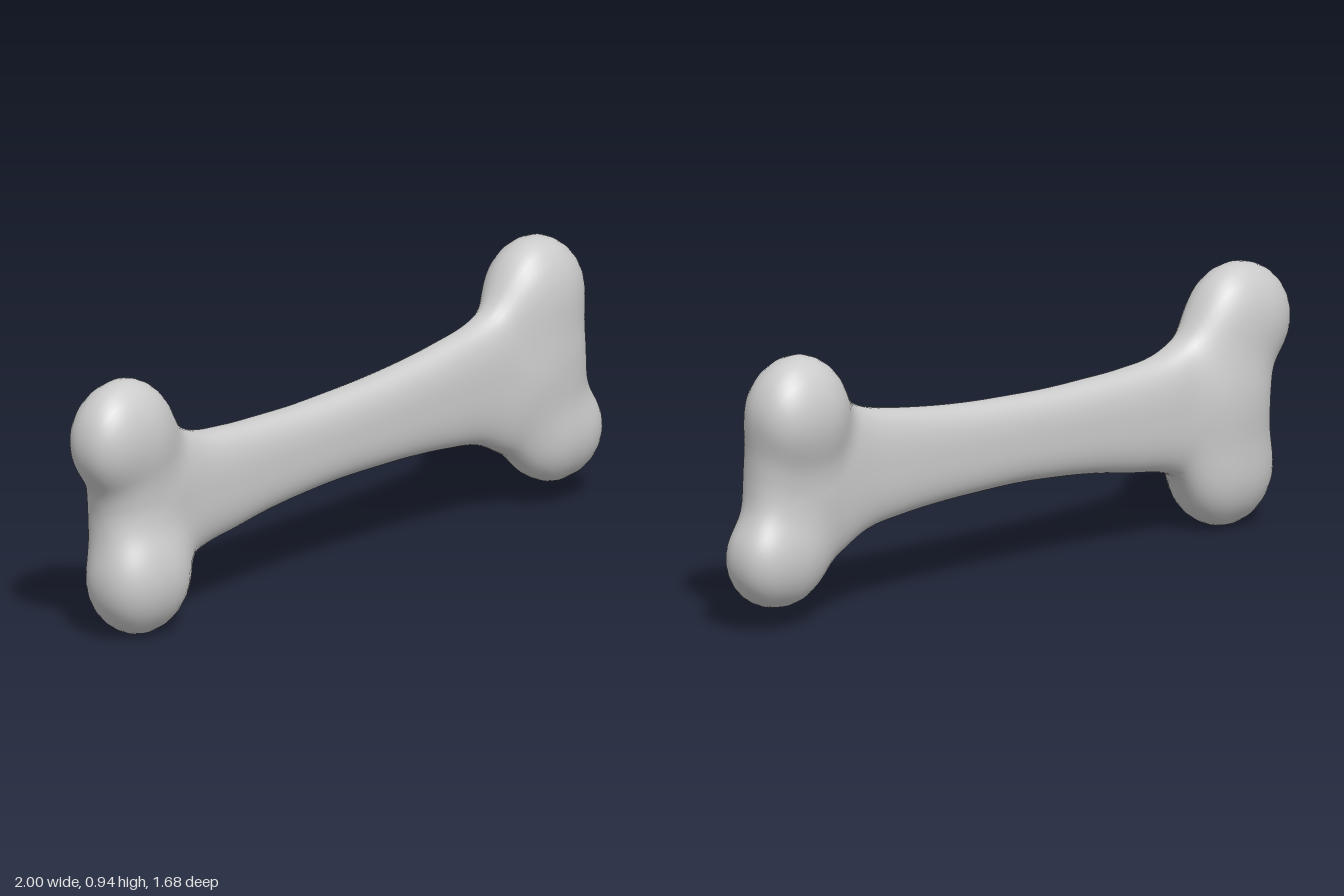
import * as THREE from 'three';
import { mergeVertices } from 'three/addons/utils/BufferGeometryUtils.js';

const AXIS_Y = 0.47;   // height of the bone's centre line
const AXIS_END = 0.95; // half length of the centre line
const YAW = THREE.MathUtils.degToRad(39.5);

// Shaft profile at even stations along the bone: (top, bottom, half thickness)
const REACH = 1.05;
const profile = new THREE.CatmullRomCurve3([
  [0.82, 0.08, 0.118], [0.73, 0.15, 0.106], [0.645, 0.23, 0.094], [0.622, 0.262, 0.089],
  [0.616, 0.290, 0.086], [0.614, 0.308, 0.085], [0.62, 0.318, 0.085], [0.63, 0.318, 0.084],
  [0.647, 0.314, 0.083], [0.672, 0.302, 0.083], [0.71, 0.275, 0.086], [0.80, 0.19, 0.104],
  [0.87, 0.11, 0.12],
].map(p => new THREE.Vector3(...p)), false, 'catmullrom', 0.5);

// End swellings as rounded blobs: centre (along, up, across) and radii.
// Each web is flush on one face and leaves a groove on the other.
const blobs = [
  { c: [-1.06, 0.705, 0.005], r: [0.192, 0.198, 0.132] }, // upper knob, right end
  { c: [-0.985, 0.20, 0.018], r: [0.183, 0.198, 0.15] },  // lower knob, right end
  { c: [-0.97, 0.45, -0.03], r: [0.15, 0.20, 0.11] },     // web between them
  { c: [1.015, 0.74, -0.02], r: [0.182, 0.196, 0.142] },  // upper knob, left end
  { c: [1.09, 0.25, 0.012], r: [0.166, 0.175, 0.13] },    // lower knob, left end
  { c: [1.02, 0.50, 0.025], r: [0.15, 0.20, 0.105] },     // web between them
];

const station = new THREE.Vector3();

// Rounded-rectangle length: power 2 is round, more is boxier
const norm = (a, b, power) => (Math.abs(a) ** power + Math.abs(b) ** power) ** (1 / power);

function smoothMin(a, b, k) {
  const h = Math.max(k - Math.abs(a - b), 0) / k;
  return Math.min(a, b) - h * h * k * 0.25;
}

// Negative inside the bone, positive outside
function field(u, y, w) {
  const t = THREE.MathUtils.clamp((u + REACH) / (2 * REACH), 0, 1);
  profile.getPoint(t, station);
  const { x: top, y: bottom, z: thick } = station;
  const dy = (y - (top + bottom) / 2) / ((top - bottom) / 2);
  const du = Math.max(Math.abs(u) - 0.9, 0) / 0.22;
  let d = (Math.hypot(norm(dy, w / thick, 2.6), du) - 1) * thick;
  for (const { c, r } of blobs) {
    const plan = norm((u - c[0]) / r[0], (w - c[2]) / r[2], 2.4);
    d = smoothMin(d, (Math.hypot(plan, (y - c[1]) / r[1]) - 1) * Math.min(...r), 0.07);
  }
  return d;
}

// Push every capsule vertex out from the centre line onto the bone's surface
function boneGeometry() {
  let geo = new THREE.CapsuleGeometry(0.1, 2 * AXIS_END, 40, 88, 90);
  geo.rotateZ(-Math.PI / 2);
  geo.deleteAttribute('uv');
  geo.deleteAttribute('normal');
  geo = mergeVertices(geo, 1e-5);
  const pos = geo.attributes.position;
  const dir = new THREE.Vector3();
  for (let i = 0; i < pos.count; i++) {
    const base = THREE.MathUtils.clamp(pos.getX(i), -AXIS_END, AXIS_END);
    dir.fromBufferAttribute(pos, i);
    dir.x -= base;
    dir.normalize();
    let near = 0, far = 0.8;
    for (let n = 0; n < 20; n++) {
      const mid = (near + far) / 2;
      if (field(base + dir.x * mid, AXIS_Y + dir.y * mid, dir.z * mid) < 0) near = mid;
      else far = mid;
    }
    pos.setXYZ(i, base + dir.x * near, AXIS_Y + dir.y * near, dir.z * near);
  }
  // Lay it diagonally, centre it and stand it on the ground
  geo.rotateY(YAW);
  geo.computeBoundingBox();
  const box = geo.boundingBox;
  const mid = box.getCenter(new THREE.Vector3());
  geo.translate(-mid.x, -box.min.y, -mid.z);
  geo.computeVertexNormals();
  return geo;
}

export function createModel() {
  const group = new THREE.Group();
  const bone = new THREE.Mesh(boneGeometry(), new THREE.MeshStandardMaterial({ color: 0xcccccc }));
  bone.name = 'bone';
  group.add(bone);
  return group;
}
